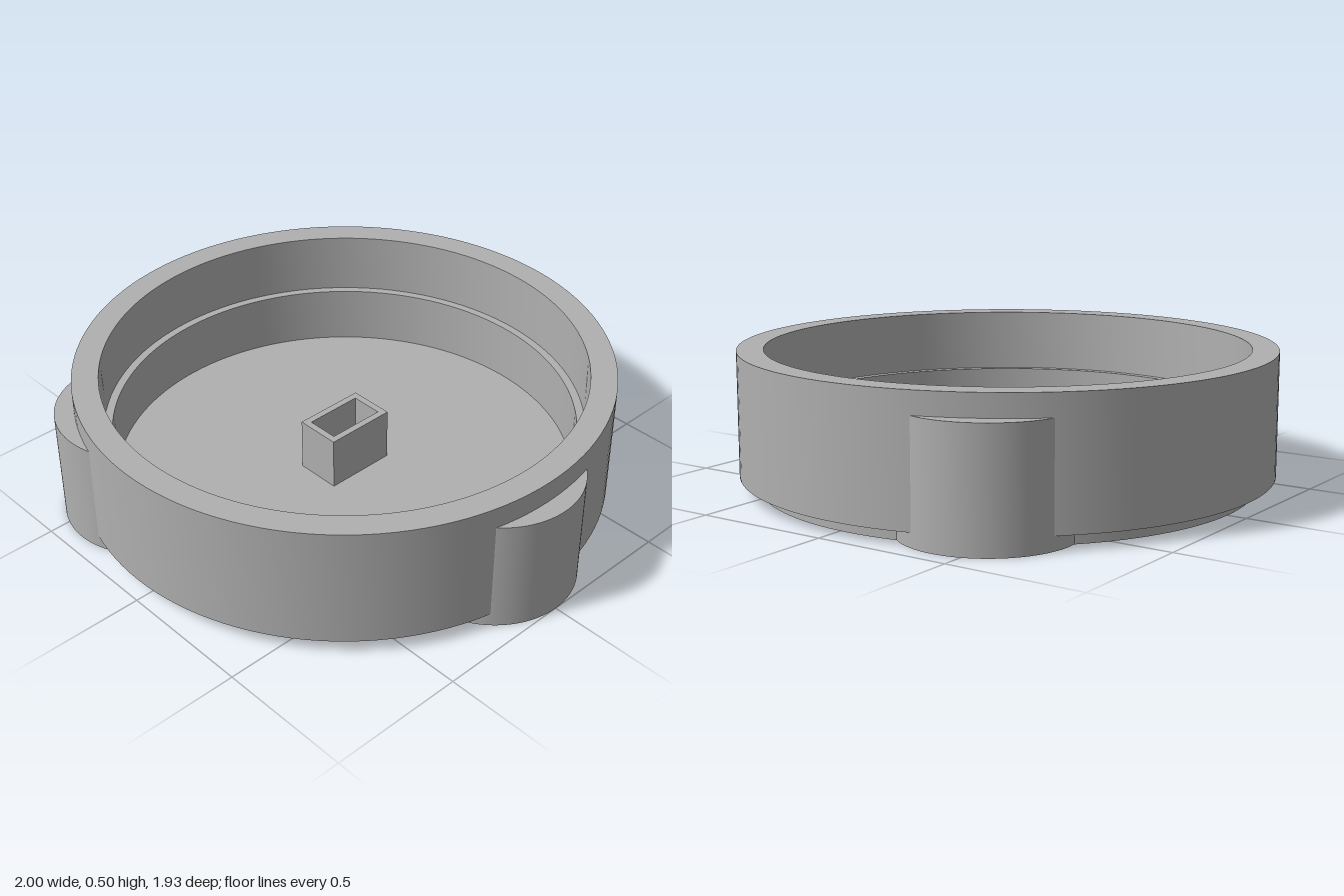
import * as THREE from 'three';
import { toCreasedNormals } from 'three/addons/utils/BufferGeometryUtils.js';

const HEIGHT = 0.5, FLOOR = 0.05, LEDGE = 0.27;
const OUTER = 0.965, BASE = 0.895;          // wall radius, recessed foot radius
const LUG_R = 0.305, LUG_D = 0.73, LUG_H = 0.42;

export function createModel() {
  const model = new THREE.Group();
  model.name = 'roundTray';
  const grey = new THREE.MeshStandardMaterial({ color: 0xb0b0b0 });
  grey.name = 'plainGrey';

  // Everything is arranged around the axis of the dish
  const body = new THREE.Group();
  body.name = 'body';
  body.position.x = -0.035;
  model.add(body);

  const add = (name, geometry) => {
    const mesh = new THREE.Mesh(toCreasedNormals(geometry, 0.5), grey);
    mesh.name = name;
    body.add(mesh);
    return mesh;
  };

  // Dish: recessed foot, wall, inner ledge and floor
  const profile = [
    [0, 0], [BASE, 0], [BASE, FLOOR], [OUTER, FLOOR], [OUTER, HEIGHT],
    [0.87, HEIGHT], [0.87, LEDGE], [0.84, LEDGE], [0.84, FLOOR], [0, FLOOR],
  ].map(([r, y]) => new THREE.Vector2(r, y));
  add('dish', new THREE.LatheGeometry(profile, 128));

  // Three lugs: the part of a small cylinder that lies outside the foot
  const inner = BASE - 0.005;
  const xi = (inner ** 2 + LUG_D ** 2 - LUG_R ** 2) / (2 * LUG_D);
  const zi = Math.sqrt(inner ** 2 - xi ** 2);
  const lugAngle = Math.atan2(zi, xi - LUG_D);
  const footAngle = Math.atan2(zi, xi);
  const crescent = new THREE.Shape();
  crescent.absarc(LUG_D, 0, LUG_R, -lugAngle, lugAngle, false);
  crescent.absarc(0, 0, inner, footAngle, -footAngle, true);
  for (let i = 0; i < 3; i++) {
    const geometry = new THREE.ExtrudeGeometry(crescent, { depth: LUG_H, bevelEnabled: false, curveSegments: 32 });
    geometry.rotateX(-Math.PI / 2);
    add('lug' + (i + 1), geometry).rotation.y = (i * 2 * Math.PI) / 3;
  }

  // Hollow rectangular post in the middle of the floor
  const rectangle = (path, w, d) => path
    .moveTo(-w / 2, -d / 2).lineTo(w / 2, -d / 2).lineTo(w / 2, d / 2).lineTo(-w / 2, d / 2).closePath();
  const post = new THREE.Shape();
  rectangle(post, 0.17, 0.27);
  const socket = new THREE.Path();
  rectangle(socket, 0.12, 0.22);
  post.holes.push(socket);
  const postGeometry = new THREE.ExtrudeGeometry(post, { depth: 0.25 - FLOOR, bevelEnabled: false });
  postGeometry.rotateX(-Math.PI / 2);
  add('centrePost', postGeometry).position.y = FLOOR;

  return model;
}
